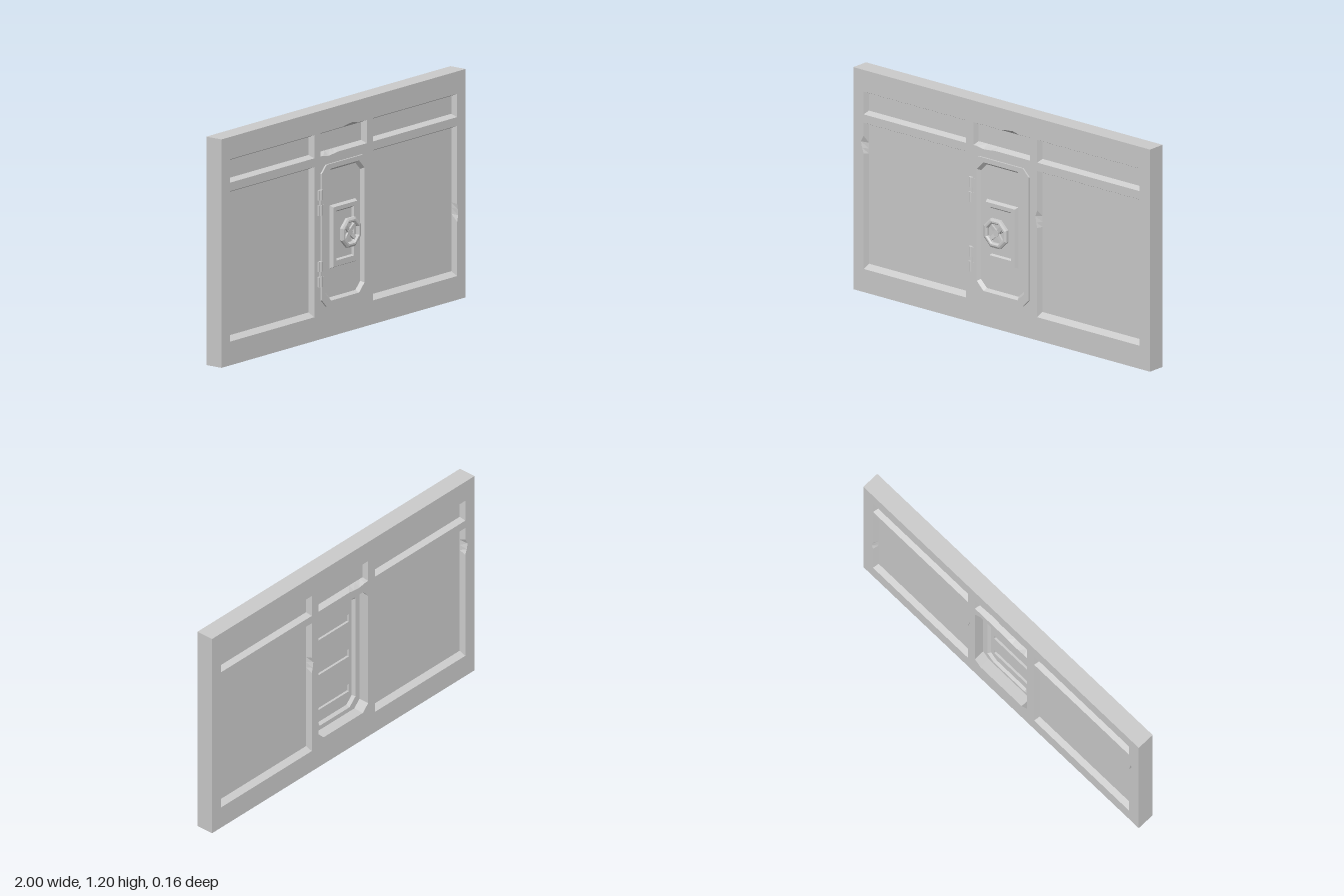
import * as THREE from 'three';
import { mergeGeometries } from 'three/addons/utils/BufferGeometryUtils.js';

const FRONT = 0.023, BACK = -0.077, DEPTH = 0.03, DOOR_Y = 0.5375;
const material = new THREE.MeshStandardMaterial({ color: 0xcccccc, flatShading: true });

// Counter-clockwise rectangle; chips are [edge, position, half length, depth]
function rect(l, b, r, t, chips = [], chipScale = 1) {
  const c = [[l, b], [r, b], [r, t], [l, t]], out = [];
  c.forEach((p, i) => {
    const q = c[(i + 1) % 4], len = Math.hypot(q[0] - p[0], q[1] - p[1]);
    const n = [(q[1] - p[1]) / len, (p[0] - q[0]) / len];
    out.push(p);
    const chip = chips.find((k) => k[0] === i);
    if (!chip) return;
    [[-1, 0], [-0.3, 1], [0.4, 0.6], [1, 0]].forEach(([s, d]) => {
      const f = chip[1] + s * chip[2], o = d * chip[3] * chipScale;
      out.push([p[0] + (q[0] - p[0]) * f + n[0] * o, p[1] + (q[1] - p[1]) * f + n[1] * o]);
    });
  });
  return out;
}

// Rectangle with cut corners, centred on the door
function octagon(hw, hh, cut) {
  return [[-hw + cut, -hh], [hw - cut, -hh], [hw, -hh + cut], [hw, hh - cut],
    [hw - cut, hh], [-hw + cut, hh], [-hw, hh - cut], [-hw, -hh + cut]]
    .map(([x, y]) => [x, y + DOOR_Y]);
}

// Strip of quads joining two loops with equal point counts
function band(a, za, b, zb) {
  const pos = [];
  a.forEach((p, i) => {
    const j = (i + 1) % a.length;
    const A = [...p, za], B = [...a[j], za], C = [...b[j], zb], D = [...b[i], zb];
    pos.push(...A, ...B, ...C, ...A, ...C, ...D);
  });
  const g = new THREE.BufferGeometry();
  g.setAttribute('position', new THREE.Float32BufferAttribute(pos, 3));
  g.computeVertexNormals();
  return g;
}

// Flat face with holes, turned to the front or to the back
function face(loop, z, toBack = false, holes = []) {
  const v = (l) => l.map(([x, y]) => new THREE.Vector2(x, y));
  const s = new THREE.Shape(v(loop));
  s.holes = holes.map((h) => new THREE.Path(v(h)));
  let g = new THREE.ShapeGeometry(s);
  if (toBack) {
    const ix = g.index.array;
    for (let i = 0; i < ix.length; i += 3) [ix[i], ix[i + 1]] = [ix[i + 1], ix[i]];
  }
  g = g.toNonIndexed();
  g.deleteAttribute('uv');
  g.translate(0, 0, z);
  g.computeVertexNormals();
  return g;
}

function add(group, name, geometry) {
  const mesh = new THREE.Mesh(Array.isArray(geometry) ? mergeGeometries(geometry) : geometry, material);
  mesh.name = name;
  group.add(mesh);
  return mesh;
}

export function createModel() {
  const model = new THREE.Group();
  model.name = 'wallWithHatch';

  // Sunken panels, repeated on both faces: left, bottom, right, top, chips
  const panels = [
    [-0.93, 0.125, -0.24, 0.915, [[3, 0.15, 0.06, 0.018]]],
    [0.24, 0.125, 0.93, 0.915, [[1, 0.42, 0.06, 0.008], [3, 0.33, 0.06, 0.012]]],
    [-0.93, 0.96, -0.24, 1.083, []],
    [-0.19, 0.96, 0.19, 1.083, [[0, 0.22, 0.16, 0.008], [2, 0.35, 0.16, 0.01]]],
    [0.24, 0.96, 0.93, 1.083, []],
  ];
  const outer = rect(-1, 0, 1, 1.2);
  const opening = octagon(0.19, 0.3725, 0.04);
  const holes = panels.map((p) => rect(...p));
  add(model, 'wall', [
    face(outer, FRONT, false, [...holes, opening]),
    face(outer, BACK, true, [...holes, opening]),
    band(outer, BACK, outer, FRONT),
  ]);
  panels.forEach(([l, b, r, t, chips], i) => {
    const big = t - b > 0.5;
    const floor = rect(l + 0.01, b + (big ? 0.023 : 0.015), r - 0.01, t - 0.014, chips, 0);
    add(model, 'sunkenPanel' + (i + 1), [
      band(holes[i], FRONT, floor, FRONT - DEPTH), face(floor, FRONT - DEPTH),
      band(floor, BACK + DEPTH, holes[i], BACK), face(floor, BACK + DEPTH, true),
    ]);
  });

  // Raised door frame and the deep opening behind it
  const frameIn = octagon(0.16, 0.347, 0.045);
  const doorEdge = octagon(0.147, 0.334, 0.04);
  const rimZ = 0.032, doorZ = 0.014, ledgeZ = -0.017, doorBackZ = -0.002;
  add(model, 'doorFrame', [
    band(opening, FRONT, opening, rimZ),
    band(opening, rimZ, frameIn, rimZ),
    band(frameIn, rimZ, doorEdge, doorZ),
    band(opening, ledgeZ, opening, BACK),
    band(frameIn, ledgeZ, opening, ledgeZ),
    band(doorEdge, doorBackZ, frameIn, ledgeZ),
  ]);

  // Door leaf with three slots in its back
  const slots = [0.30, 0.515, 0.73].map((y) => rect(-0.125, y - 0.023, 0.125, y + 0.023));
  add(model, 'door', [
    face(doorEdge, doorZ),
    face(doorEdge, doorBackZ, true, slots),
    ...slots.flatMap((s) => [band(s, 0.011, s, doorBackZ), face(s, 0.011, true)]),
  ]);

  // Lock plate with a sunken middle
  const plate = [rect(-0.106, 0.355, 0.106, 0.686), rect(-0.097, 0.364, 0.097, 0.677),
    rect(-0.073, 0.394, 0.073, 0.656), rect(-0.066, 0.401, 0.066, 0.647)];
  add(model, 'lockPlate', [
    band(plate[0], doorZ, plate[1], 0.034),
    band(plate[1], 0.034, plate[2], 0.034),
    band(plate[2], 0.034, plate[3], 0.022),
    face(plate[3], 0.022),
  ]);

  // Eight-sided hand wheel
  const wheel = new THREE.Group();
  wheel.name = 'handWheel';
  wheel.position.set(0, 0.535, 0.067);
  model.add(wheel);
  const profile = [[0.072, -0.013], [0.083, -0.007], [0.083, 0.007], [0.072, 0.013],
    [0.063, 0.013], [0.056, 0.006], [0.056, -0.006], [0.063, -0.013], [0.072, -0.013]];
  add(wheel, 'wheelRim', new THREE.LatheGeometry(profile.map((p) => new THREE.Vector2(...p)), 8)
    .rotateY(Math.PI / 8).rotateX(Math.PI / 2));
  for (let i = 0; i < 4; i++) {
    const spoke = new THREE.BoxGeometry(0.055, 0.02, 0.01).rotateY(-0.12).translate(0.036, 0, -0.004);
    add(wheel, 'spoke' + (i + 1), spoke.rotateZ(Math.PI / 4 + i * Math.PI / 2));
  }
  add(wheel, 'hub', new THREE.CylinderGeometry(0.018, 0.011, 0.02, 8)
    .rotateX(Math.PI / 2).translate(0, 0, -0.008));
  add(wheel, 'shaft', new THREE.CylinderGeometry(0.01, 0.01, 0.04, 8)
    .rotateX(Math.PI / 2).translate(0, 0, -0.028));

  // Two hinges, each with two knuckles and a pin
  [0.72, 0.345].forEach((y, i) => {
    const hinge = new THREE.Group();
    hinge.name = i ? 'lowerHinge' : 'upperHinge';
    hinge.position.set(-0.195, y, 0.028);
    model.add(hinge);
    [-0.04, 0.04].forEach((dy) => {
      add(hinge, 'hingeLeaf', new THREE.BoxGeometry(0.042, 0.052, 0.012).translate(0, dy, 0));
      add(hinge, 'hingeKnuckle', new THREE.CylinderGeometry(0.011, 0.011, 0.054, 8).translate(-0.004, dy, 0));
    });
    add(hinge, 'hingePin', new THREE.CylinderGeometry(0.006, 0.006, 0.13, 8).translate(-0.004, 0, 0));
  });
  return model;
}
